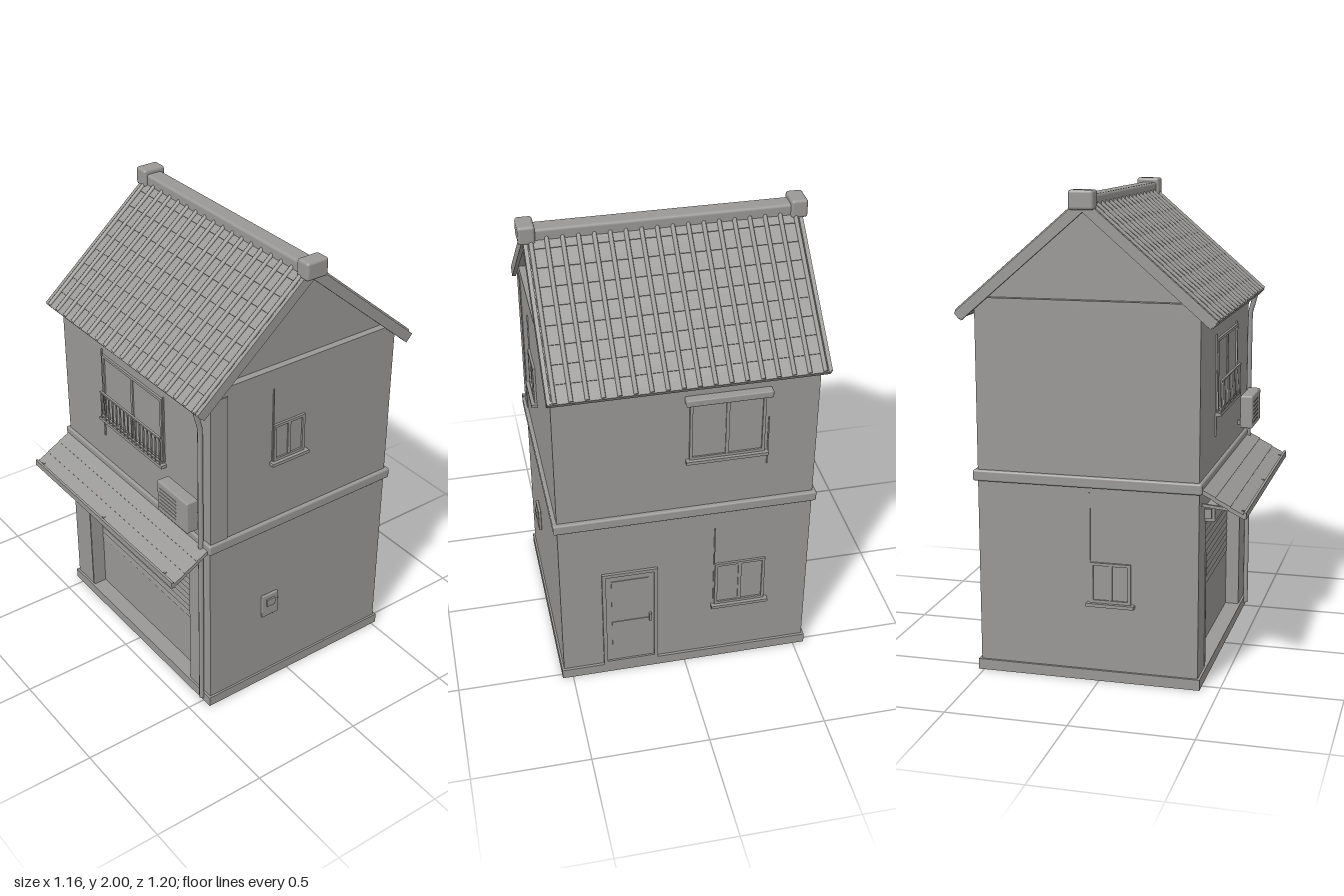
import * as THREE from 'three';
import { RoundedBoxGeometry } from 'three/addons/geometries/RoundedBoxGeometry.js';

const grey = new THREE.MeshStandardMaterial({ color: 0x999896 });
grey.name = 'plainGrey';

function add(parent, name, geometry) {
  const mesh = new THREE.Mesh(geometry, grey);
  mesh.name = name;
  parent.add(mesh);
  return mesh;
}

// Box given by its minimum and maximum on each axis
function box(parent, name, x0, x1, y0, y1, z0, z1, radius = 0) {
  const s = [x1 - x0, y1 - y0, z1 - z0];
  const geo = radius ? new RoundedBoxGeometry(...s, 2, radius) : new THREE.BoxGeometry(...s);
  const mesh = add(parent, name, geo);
  mesh.position.set((x0 + x1) / 2, (y0 + y1) / 2, (z0 + z1) / 2);
  return mesh;
}

// Outline of [z, y] points extruded along x
function prism(parent, name, points, x0, x1) {
  const shape = new THREE.Shape(points.map(([z, y]) => new THREE.Vector2(-z, y)));
  const mesh = add(parent, name, new THREE.ExtrudeGeometry(shape, { depth: x1 - x0, bevelEnabled: false }));
  mesh.rotation.y = Math.PI / 2;
  mesh.position.x = x0;
}

function group(parent, name, x, y, z, rotY = 0) {
  const g = new THREE.Group();
  g.name = name;
  g.position.set(x, y, z);
  g.rotation.y = rotY;
  parent.add(g);
  return g;
}

// Rectangular frame facing local +z, bottom centre at the origin
function frame(g, w, h, t, d) {
  box(g, 'frameLeft', -w / 2, -w / 2 + t, 0, h, 0, d);
  box(g, 'frameRight', w / 2 - t, w / 2, 0, h, 0, d);
  box(g, 'frameTop', -w / 2, w / 2, h - t, h, 0, d);
  box(g, 'frameBottom', -w / 2, w / 2, 0, t, 0, d);
}

// Sliding window with two panes and a sill
function slidingWindow(parent, name, x, y, z, rotY, w, h) {
  const g = group(parent, name, x, y, z, rotY);
  frame(g, w, h, 0.012, 0.01);
  box(g, 'mullion', -0.007, 0.007, 0, h, 0, 0.008);
  box(g, 'leftPane', -w / 2, 0, 0, h, 0, 0.003);
  box(g, 'rightPane', 0, w / 2, 0, h, 0, 0.002);
  box(g, 'sill', -w / 2 - 0.015, w / 2 + 0.015, -0.014, 0, 0, 0.025);
  return g;
}

function buildRoofSide(parent, name, rotY) {
  const angle = 0.71, length = 0.7, rows = 9, step = length / rows;
  const side = group(parent, name, 0, 1.96, -0.055, rotY);
  const slope = group(side, 'slope', 0, 0, 0);
  slope.rotation.x = angle;
  box(slope, 'roofDeck', -0.55, 0.55, -0.02, 0, 0, length);
  // Overlapping tile courses
  for (let i = 0; i < rows; i++) {
    const row = box(slope, 'tileCourse', -0.54, 0.54, -0.004, 0.004, i * step, (i + 1) * step + 0.004);
    row.rotation.x = -0.06;
    row.position.y = 0.001;
  }
  // Rounded ribs running down the slope
  const rib = new THREE.CylinderGeometry(0.009, 0.009, length, 8);
  for (let i = 0; i < 18; i++) {
    const m = add(slope, 'tileRib', rib);
    m.rotation.x = Math.PI / 2;
    m.position.set(-0.528 + i * 0.0622, 0.008, length / 2);
  }
  for (const s of [-1, 1]) {
    const b = box(slope, 'bargeBoard', -0.008, 0.008, -0.035, 0.008, 0, length);
    b.position.x = s * 0.55;
  }
  box(slope, 'eaveFascia', -0.555, 0.555, -0.025, 0.004, length - 0.012, length + 0.004);
}

export function createModel() {
  const house = new THREE.Group();
  house.name = 'shopHouse';
  const L = -0.54, R = 0.537, F = 0.412, B = -0.512;

  // Plinth ring and lower storey with the shopfront recess
  box(house, 'plinthFront', -0.55, 0.546, 0, 0.045, 0.35, 0.422);
  box(house, 'plinthBack', -0.55, 0.546, 0, 0.045, -0.524, -0.455);
  box(house, 'plinthLeft', 0.475, 0.546, 0, 0.045, -0.455, 0.35);
  box(house, 'plinthRight', -0.55, -0.48, 0, 0.045, -0.455, 0.35);
  box(house, 'lowerWalls', L, R, 0.03, 0.83, B, 0.345);
  box(house, 'rightPier', L, -0.402, 0.045, 0.83, 0.345, F);
  box(house, 'leftPier', 0.388, R, 0.045, 0.83, 0.345, F);
  box(house, 'lintel', -0.402, 0.388, 0.69, 0.83, 0.345, F);

  // Rolling shutter
  box(house, 'shutterPanel', -0.402, 0.388, 0.045, 0.297, 0.345, 0.352);
  for (let i = 0; i < 13; i++) {
    const y = 0.3 + i * 0.03;
    const slat = box(house, 'shutterSlat', -0.402, 0.388, y, y + 0.03, 0.342, 0.353);
    slat.rotation.x = -0.12;
  }
  box(house, 'shutterHousing', -0.418, 0.41, 0.672, 0.738, F - 0.02, 0.452, 0.006);
  box(house, 'housingEndRight', -0.432, -0.416, 0.69, 0.73, F - 0.01, 0.44);
  box(house, 'housingEndLeft', 0.408, 0.428, 0.69, 0.73, F - 0.01, 0.44);
  box(house, 'shutterEdge', -0.41, -0.402, 0.05, 0.54, F, F + 0.004);

  // Belt between the storeys
  box(house, 'belt', -0.556, 0.553, 0.818, 0.864, -0.53, 0.425, 0.008);

  // Awning: stepped boards, lip and stays
  const awning = group(house, 'awning', 0, 0.842, 0.415);
  const tilt = group(awning, 'awningSlope', 0, 0, 0);
  tilt.rotation.x = 0.4636;
  for (let i = 0; i < 3; i++) {
    box(tilt, 'awningBoard', L, R, -0.016 - i * 0.003, -i * 0.003, i * 0.068, i * 0.068 + 0.07);
  }
  box(awning, 'awningLip', L, R, -0.112, -0.085, 0.174, 0.185);
  for (const x of [-0.5, 0, 0.46]) {
    const stay = box(awning, 'awningStay', x - 0.006, x + 0.006, -0.09, -0.078, 0, 0.17);
    stay.rotation.x = 0.1;
  }

  // Upper storey and set-back gables
  prism(house, 'upperWalls', [[F, 0.84], [F, 1.53], [0.37, 1.57], [-0.475, 1.57], [B, 1.535], [B, 0.84]], L, R);
  prism(house, 'gableWall', [[0.375, 1.56], [-0.055, 1.935], [-0.485, 1.56]], L + 0.03, R - 0.03);
  box(house, 'sideStrip', R, R + 0.004, 0.864, 1.53, 0.33, F);

  // Roof and ridge
  buildRoofSide(house, 'frontRoof', 0);
  buildRoofSide(house, 'backRoof', Math.PI);
  box(house, 'ridge', -0.54, 0.54, 1.925, 1.98, -0.094, -0.018, 0.012);
  for (const s of [-1, 1]) {
    const cap = box(house, 'ridgeCap', -0.034, 0.034, 1.923, 2, -0.108, -0.005, 0.012);
    cap.position.x = s * 0.544;
  }

  // Front window with balcony rail
  const front = slidingWindow(house, 'frontWindow', 0, 1.085, F, 0, 0.44, 0.305);
  box(front, 'railTop', -0.222, 0.222, 0.125, 0.132, 0.016, 0.026);
  box(front, 'railBottom', -0.222, 0.222, 0.012, 0.018, 0.016, 0.026);
  for (let i = 0; i < 16; i++) {
    const x = -0.218 + i * 0.0291;
    box(front, 'railBar', x - 0.0025, x + 0.0025, 0, 0.13, 0.018, 0.024);
  }
  box(front, 'rightTrim', -0.232, -0.226, -0.1, 0.325, 0, 0.006);
  box(front, 'leftTrim', 0.222, 0.228, 0.01, 0.315, 0, 0.006);

  // Side windows, each with a thin upright trim
  const leftWin = slidingWindow(house, 'leftWindow', R, 1.148, 0.028, Math.PI / 2, 0.155, 0.17);
  box(leftWin, 'trim', -0.082, -0.077, 0, 0.335, 0, 0.005);
  const rightWin = slidingWindow(house, 'rightWindow', L, 0.337, 0.05, -Math.PI / 2, 0.17, 0.17);
  box(rightWin, 'trim', -0.09, -0.085, 0, 0.46, 0, 0.005);

  // Back windows and door
  const backLow = slidingWindow(house, 'backLowerWindow', -0.24, 0.307, B, Math.PI, 0.22, 0.225);
  box(backLow, 'trim', -0.116, -0.111, 0, 0.42, 0, 0.005);
  const backHigh = slidingWindow(house, 'backUpperWindow', -0.165, 1.11, B, Math.PI, 0.31, 0.28);
  box(backHigh, 'hood', -0.175, 0.175, 0.278, 0.308, 0, 0.04, 0.005);
  box(backHigh, 'trim', 0.168, 0.173, -0.07, 0.16, 0, 0.005);
  const door = group(house, 'backDoor', 0.24, 0.045, B, Math.PI);
  frame(door, 0.24, 0.515, 0.016, 0.012);
  box(door, 'doorLeaf', -0.105, 0.105, 0, 0.5, 0, 0.004);
  box(door, 'upperPanel', -0.08, 0.08, 0.27, 0.47, 0, 0.007);
  box(door, 'lowerPanel', -0.08, 0.08, 0.03, 0.24, 0, 0.007);
  box(door, 'handle', 0.082, 0.092, 0.225, 0.265, 0, 0.016);

  // Meter box on the left wall
  box(house, 'meterBox', R, 0.55, 0.36, 0.472, 0.064, 0.148, 0.004);
  box(house, 'meterDial', 0.549, 0.557, 0.415, 0.45, 0.085, 0.127);

  // Air conditioner with grille
  const ac = group(house, 'airConditioner', 0.375, 0.912, F);
  box(ac, 'casing', -0.105, 0.105, 0, 0.148, 0.015, 0.072, 0.008);
  for (let i = 0; i < 6; i++) {
    box(ac, 'grilleBar', -0.085, 0.03, 0.025 + i * 0.018, 0.029 + i * 0.018, 0.07, 0.074);
  }
  for (const x of [-0.07, 0.07]) box(ac, 'bracket', x - 0.006, x + 0.006, 0.01, 0.03, 0, 0.03);

  // Downpipe with an offset to the eave
  const path = new THREE.CurvePath();
  const pts = [[0.02, 0.428], [1.4, 0.428], [1.5, 0.455]].map(([y, z]) => new THREE.Vector3(0.495, y, z));
  path.add(new THREE.LineCurve3(pts[0], pts[1]));
  path.add(new THREE.LineCurve3(pts[1], pts[2]));
  add(house, 'downpipe', new THREE.TubeGeometry(path, 30, 0.011, 8));

  return house;
}
